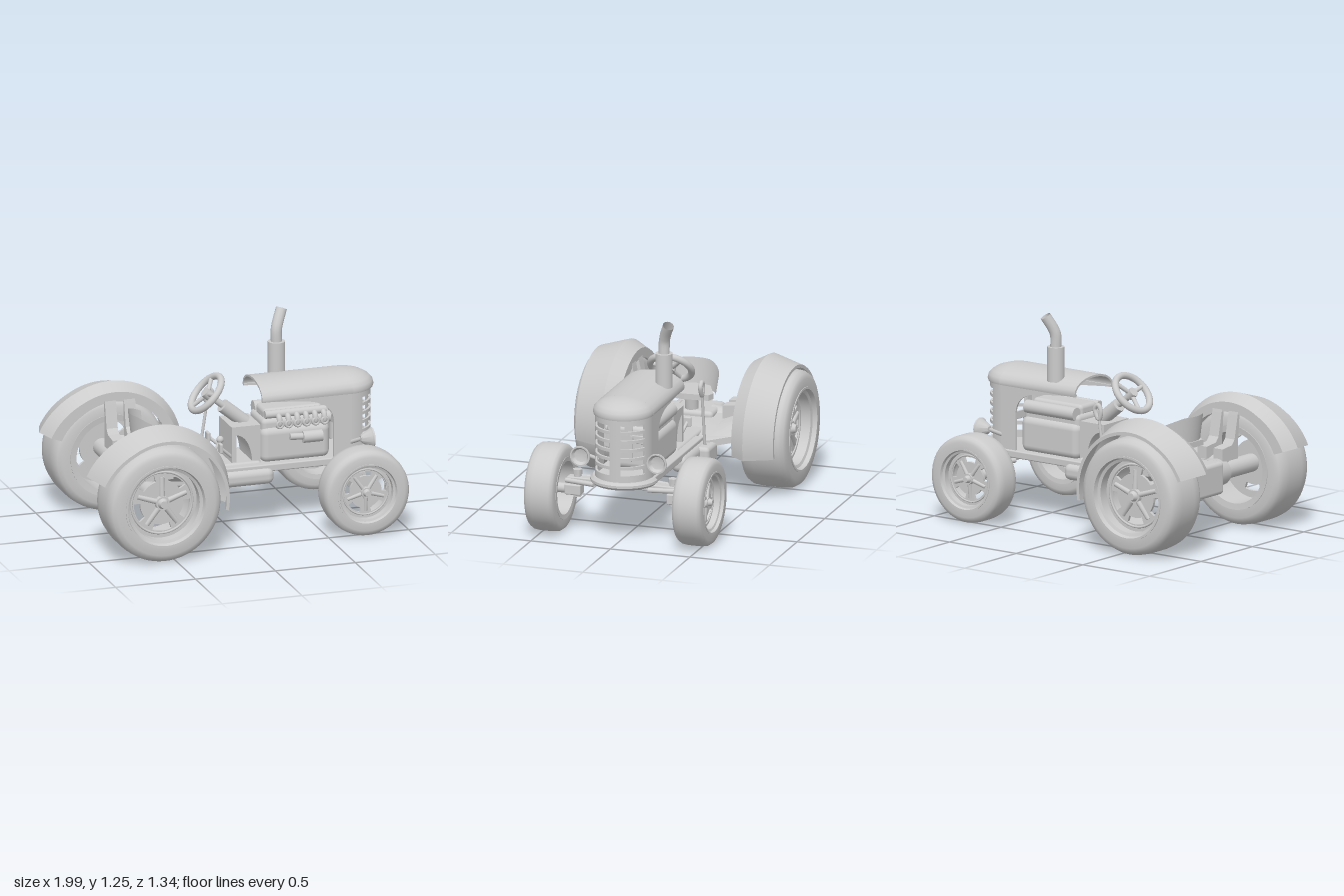
import * as THREE from 'three';
import { toCreasedNormals } from 'three/addons/utils/BufferGeometryUtils.js';
import { RoundedBoxGeometry } from 'three/addons/geometries/RoundedBoxGeometry.js';

const mat = new THREE.MeshStandardMaterial({ color: 0xcccccc, side: THREE.DoubleSide });
const V = (x, y, z) => new THREE.Vector3(x, y, z);
const P = (list) => list.map(([a, b]) => new THREE.Vector2(a, b));
const rad = THREE.MathUtils.degToRad;

function add(parent, name, geo, x = 0, y = 0, z = 0) {
  const m = new THREE.Mesh(geo, mat);
  m.name = name;
  m.position.set(x, y, z);
  parent.add(m);
  return m;
}
const box = (p, name, x0, x1, y0, y1, z0, z1, r = 0.008) =>
  add(p, name, new RoundedBoxGeometry(x1 - x0, y1 - y0, z1 - z0, 3, r), (x0 + x1) / 2, (y0 + y1) / 2, (z0 + z1) / 2);

// cylinder or cone between two points
function rod(p, name, a, b, r0, r1 = r0, seg = 20) {
  const d = b.clone().sub(a);
  const m = add(p, name, new THREE.CylinderGeometry(r1, r0, d.length(), seg));
  m.position.copy(a).addScaledVector(d, 0.5);
  m.quaternion.setFromUnitVectors(V(0, 1, 0), d.normalize());
  return m;
}
const tube = (p, name, pts, r, closed = false) =>
  add(p, name, new THREE.TubeGeometry(new THREE.CatmullRomCurve3(pts, closed), 32, r, 12, closed));

// closed profile of [radius, height], revolved about y
const ring = (profile, start = 0, length = Math.PI * 2, seg = 56, crease = 0.6) =>
  toCreasedNormals(new THREE.LatheGeometry(P([...profile, profile[0]]), seg, start, length), crease);
const extrude = (shape, depth) => new THREE.ExtrudeGeometry(shape, { depth, bevelEnabled: false, curveSegments: 16 });

// wheel with its outer side towards +z; R tyre radius, w half width, r rim radius
function wheel(name, R, w, r, hubZ, phase) {
  const g = new THREE.Group();
  g.name = name;
  const tyre = ring([[r, -w], [R * 0.86, -w], [R * 0.94, -w * 0.92], [R * 0.985, -w * 0.74], [R, -w * 0.4], [R, w * 0.4],
    [R * 0.985, w * 0.74], [R * 0.94, w * 0.92], [R * 0.86, w], [r, w]], 0, Math.PI * 2, 64, 0.7);
  add(g, 'tyre', tyre.rotateX(Math.PI / 2));
  const rim = ring([[r * 0.87, -w], [r * 1.02, -w * 1.03], [r * 1.02, w * 1.03], [r * 0.97, w * 1.03], [r * 0.94, w * 0.85], [r * 0.87, w * 0.8]]);
  add(g, 'rim', rim.rotateX(Math.PI / 2));
  // disc with five short framed slots
  const disc = new THREE.Shape().absarc(0, 0, r * 0.88, 0, Math.PI * 2);
  for (let i = 0; i < 5; i++) {
    const a = rad(phase + i * 72), h = 0.35;
    const slot = new THREE.Path();
    slot.absarc(0, 0, r * 0.7, a - h, a + h, false);
    slot.absarc(0, 0, r * 0.54, a + h, a - h, true);
    slot.closePath();
    disc.holes.push(slot);
    const b = a + rad(36);
    rod(g, 'rib', V(0, 0, hubZ + 0.025), V(Math.cos(b) * r * 0.64, Math.sin(b) * r * 0.64, hubZ + 0.014), r * 0.07, r * 0.06, 10);
  }
  add(g, 'wheelDisc', extrude(disc, 0.018), 0, 0, hubZ);
  add(g, 'discBead', new THREE.TorusGeometry(r * 0.76, r * 0.03, 8, 48), 0, 0, hubZ + 0.018);
  rod(g, 'hub', V(0, 0, hubZ - 0.05), V(0, 0, hubZ + 0.04), r * 0.22, r * 0.17);
  rod(g, 'hubCap', V(0, 0, hubZ + 0.04), V(0, 0, hubZ + 0.065), r * 0.13, r * 0.09);
  return g;
}

export function createModel() {
  const g = new THREE.Group();
  g.name = 'tractor';

  for (const s of [1, -1]) {
    const rear = wheel('rearWheel', 0.355, 0.147, 0.25, 0.04, 270);
    rear.position.set(-0.57, 0.355, s * 0.52);
    const front = wheel('frontWheel', 0.265, 0.093, 0.185, 0.02, 90);
    front.position.set(0.73, 0.265, s * 0.465);
    if (s < 0) [rear, front].forEach((w) => { w.rotation.y = Math.PI; });
    g.add(rear, front);

    // ridged mudguard arc with an inner flange, its tail drawn out to the rear
    const guard = ring([[0.34, -0.13], [0.4, -0.13], [0.445, -0.045], [0.392, 0.13], [0.372, 0.13], [0.43, -0.045], [0.385, -0.115], [0.34, -0.115]]
      .map(([r, z]) => [r, z * s]), rad(79), rad(169), 48, 0.3).rotateX(Math.PI / 2);
    const pos = guard.attributes.position;
    for (let i = 0; i < pos.count; i++) pos.setX(i, pos.getX(i) - 0.16 * Math.max(0, -pos.getX(i) - 0.2));
    add(g, 'mudguard', guard, -0.55, 0.352, s * 0.49);
    for (const x of [-0.58, -0.46]) {
      const strap = new THREE.Shape(P([[0.21, 0.42], [0.21, 0.5], [0.3, 0.51], [0.325, 0.54], [0.355, 0.68], [0.365, 0.72],
        [0.375, 0.72], [0.37, 0.64], [0.36, 0.53], [0.36, 0.42]]).map((v) => v.setX(-v.x * s)));
      add(g, 'mudguardBracket', extrude(strap, 0.07).rotateY(Math.PI / 2), x - 0.035);
    }

    // rear axle
    rod(g, 'axleBell', V(-0.57, 0.355, s * 0.1), V(-0.57, 0.355, s * 0.25), 0.1, 0.08, 28);
    rod(g, 'rearAxle', V(-0.57, 0.355, s * 0.22), V(-0.57, 0.355, s * 0.55), 0.055);

    box(g, 'sideTank', -0.2, 0.26, 0.27, 0.37, s * 0.167 - 0.05, s * 0.167 + 0.05, 0.04);

    // front axle arms, knuckles and king pins
    for (const x of [0.65, 0.81]) rod(g, 'axleArm', V(x, 0.328, s * 0.17), V(0.73 + (x - 0.73) * 0.45, 0.325, s * 0.36), 0.015);
    box(g, 'knuckle', 0.69, 0.77, 0.235, 0.3, s * 0.32 - 0.05, s * 0.32 + 0.05);
    rod(g, 'kingPin', V(0.73, 0.22, s * 0.3), V(0.73, 0.375, s * 0.3), 0.022);
    rod(g, 'pinNut', V(0.73, 0.36, s * 0.3), V(0.73, 0.39, s * 0.3), 0.03, 0.03, 6);
    rod(g, 'stubAxle', V(0.73, 0.265, s * 0.34), V(0.73, 0.265, s * 0.47), 0.03);

    // headlamp
    const bowl = new THREE.LatheGeometry(P([[0, 0], [0.018, 0], [0.03, 0.012], [0.055, 0.06], [0.062, 0.065], [0.062, 0.075], [0.053, 0.075], [0.04, 0.055], [0, 0.045]]), 28);
    add(g, 'headlamp', toCreasedNormals(bowl, 0.7).rotateZ(-Math.PI / 2), 0.785, 0.51, s * 0.241);
    rod(g, 'headlampStem', V(0.795, 0.51, s * 0.24), V(0.75, 0.47, s * 0.165), 0.012);

    // hood side panel, cut away around the engine
    const panel = new THREE.Shape();
    panel.moveTo(0.19, 0.79);
    panel.lineTo(0.75, 0.79);
    panel.lineTo(0.75, 0.37);
    panel.lineTo(0.64, 0.37);
    panel.lineTo(0.64, 0.62);
    panel.quadraticCurveTo(0.63, 0.74, 0.46, 0.755);
    panel.lineTo(0.19, 0.78);
    add(g, 'hoodSide', extrude(panel, 0.012), 0, 0, s * 0.17 - 0.006);

    // pedals
    rod(g, 'pedalArm', V(0.04, 0.42, s * 0.1), V(-0.05, 0.5, s * 0.12), 0.01);
    box(g, 'pedal', -0.06, -0.04, 0.47, 0.53, s * 0.12 - 0.025, s * 0.12 + 0.025);
  }
  box(g, 'frontAxleBeam', 0.7, 0.76, 0.305, 0.345, -0.36, 0.36);

  // chassis, transmission and engine
  box(g, 'chassis', -0.14, 0.76, 0.345, 0.39, -0.19, 0.19);
  box(g, 'gearbox', -0.48, 0.2, 0.285, 0.4, -0.145, 0.145, 0.02);
  box(g, 'axleHousing', -0.68, -0.42, 0.25, 0.45, -0.147, 0.147, 0.025);
  box(g, 'engineBlock', 0.2, 0.63, 0.38, 0.6, -0.15, 0.15, 0.045);
  box(g, 'cylinderHead', 0.21, 0.62, 0.55, 0.65, -0.125, 0.125, 0.03);
  box(g, 'valveCover', 0.23, 0.6, 0.63, 0.7, -0.07, 0.09, 0.025);
  box(g, 'fanBladeA', 0.67, 0.68, 0.45, 0.73, -0.025, 0.025, 0.004);
  box(g, 'fanBladeB', 0.67, 0.68, 0.565, 0.615, -0.14, 0.14, 0.004);
  rod(g, 'fanShaft', V(0.6, 0.59, 0), V(0.7, 0.59, 0), 0.035);

  // left side of the engine: manifold, ports and starter
  rod(g, 'manifold', V(0.23, 0.675, 0.11), V(0.61, 0.675, 0.11), 0.024);
  for (let i = 0; i < 6; i++) {
    const x = 0.31 + i * 0.056;
    tube(g, 'exhaustPort', [V(x, 0.67, 0.12), V(x, 0.655, 0.145), V(x, 0.62, 0.15), V(x, 0.6, 0.12)], 0.017);
    add(g, 'portRing', new THREE.TorusGeometry(0.019, 0.008, 8, 20), x, 0.62, 0.16);
  }
  rod(g, 'starter', V(0.45, 0.53, 0.16), V(0.57, 0.53, 0.16), 0.036);
  rod(g, 'starterNose', V(0.37, 0.54, 0.16), V(0.46, 0.535, 0.16), 0.02);
  // right side of the engine: intake pipe
  rod(g, 'intakePipe', V(0.23, 0.655, -0.115), V(0.6, 0.655, -0.115), 0.04);

  // dished floor plate: stations of x, half width, edge height, middle height
  const stations = [[-0.6, 0.36, 0.49, 0.43], [-0.32, 0.36, 0.46, 0.41], [-0.19, 0.355, 0.39, 0.38], [-0.12, 0.22, 0.37, 0.37]];
  const corners = [], index = [];
  for (const [x, z, e, m] of stations) {
    corners.push(x, e, -z, x, m, -z * 0.6, x, m, z * 0.6, x, e, z);
    corners.push(x, e - 0.04, z, x, m - 0.06, z * 0.6, x, m - 0.06, -z * 0.6, x, e - 0.04, -z);
  }
  for (let i = 0; i < 3; i++) {
    for (let k = 0; k < 8; k++) {
      const a = i * 8 + k, b = i * 8 + (k + 1) % 8;
      index.push(a, b, b + 8, a, b + 8, a + 8);
    }
  }
  for (const [a, b, c, d] of [[0, 7, 6, 1], [1, 6, 5, 2], [2, 5, 4, 3]]) {
    index.push(a, b, c, a, c, d, a + 24, c + 24, b + 24, a + 24, d + 24, c + 24);
  }
  const floor = new THREE.BufferGeometry();
  floor.setAttribute('position', new THREE.Float32BufferAttribute(corners, 3));
  floor.setIndex(index);
  add(g, 'floorPlate', toCreasedNormals(floor, 0.4));

  // dashboard cowl with a leg arch
  const cowl = new THREE.Shape(P([[0.02, 0.38], [0.02, 0.62], [0.2, 0.62], [0.2, 0.38], [0.15, 0.38]]));
  cowl.quadraticCurveTo(0.14, 0.55, 0.05, 0.57);
  cowl.lineTo(0.05, 0.38);
  add(g, 'cowl', extrude(cowl, 0.24), 0, 0, -0.12);

  // hood: domed shell with a round nose
  const dome = [[0.182, 0.775], [0.186, 0.79], [0.18, 0.815], [0.16, 0.838], [0.125, 0.858], [0.08, 0.872], [0.035, 0.878], [0, 0.879]];
  const inner = dome.map(([r, y]) => [r * 0.93, 0.775 + (y - 0.775) * 0.88]).reverse();
  const mirror = (pts) => pts.slice().reverse().map(([r, y]) => [-r, y]);
  const arch = new THREE.Shape(P([...dome, ...mirror(dome).slice(1), ...mirror(inner).slice(0, -1), ...inner]));
  add(g, 'hood', toCreasedNormals(extrude(arch, 0.565).rotateY(Math.PI / 2), 0.6), 0.19);
  add(g, 'hoodNose', ring([...dome, ...inner], 0, Math.PI, 40), 0.75);

  // rounded grille: bars between two columns of slots
  const band = (name, y0, y1, a0, a1, r = 0.175) =>
    add(g, name, ring([[r - 0.014, y0], [r, y0], [r, y1], [r - 0.014, y1]], rad(a0), rad(a1 - a0), 24), 0.745);
  const pitch = 0.0545;
  for (let i = 0; i < 7; i++) {
    const y = 0.466 + (i - 1) * pitch;
    band('grilleBar', i ? y : 0.38, i < 6 ? y + 0.019 : 0.785, 0, 180);
  }
  band('grilleCentre', 0.38, 0.785, 79, 101);
  band('grilleSide', 0.38, 0.785, 0, 28);
  band('grilleSide', 0.38, 0.785, 152, 180);
  add(g, 'grilleBase', ring([[0, 0.345], [0.19, 0.345], [0.205, 0.36], [0.205, 0.375], [0.19, 0.39], [0, 0.39]], 0, Math.PI, 36), 0.74);

  // exhaust stack
  rod(g, 'silencer', V(0.38, 0.84, -0.122), V(0.38, 1.05, -0.122), 0.052, 0.052, 28);
  tube(g, 'exhaustPipe', [V(0.38, 1.03, -0.122), V(0.38, 1.12, -0.124), V(0.393, 1.165, -0.135), V(0.425, 1.235, -0.165)], 0.034);

  // steering wheel and column
  const steer = new THREE.Group();
  steer.name = 'steeringWheel';
  steer.position.set(-0.1, 0.81, 0);
  steer.quaternion.setFromUnitVectors(V(0, 0, 1), V(-0.74, 0.67, 0).normalize());
  add(steer, 'wheelRim', new THREE.TorusGeometry(0.126, 0.021, 14, 48));
  for (let i = 0; i < 3; i++) {
    const a = rad(90 + i * 120);
    rod(steer, 'wheelSpoke', V(0, 0, -0.01), V(Math.cos(a) * 0.12, Math.sin(a) * 0.12, 0), 0.013);
  }
  rod(steer, 'wheelHub', V(0, 0, -0.03), V(0, 0, 0.015), 0.03);
  g.add(steer);
  rod(g, 'steeringColumn', V(-0.1, 0.81, 0), V(0.06, 0.68, 0), 0.02);
  rod(g, 'columnSleeve', V(0.0, 0.725, 0), V(0.14, 0.61, 0), 0.042);

  // seat: tapered pan with a wrapped back, highest in the middle
  const pan = new THREE.Shape(P([[-0.57, -0.08], [-0.39, -0.165], [-0.345, -0.15], [-0.33, 0], [-0.345, 0.15], [-0.39, 0.165], [-0.57, 0.08]]));
  add(g, 'seatPan', extrude(pan, 0.035).rotateX(Math.PI / 2), 0, 0.58);
  const back = new THREE.CylinderGeometry(0.19, 0.17, 0.18, 28, 4, true, rad(198), rad(144));
  const bp = back.attributes.position;
  for (let i = 0; i < bp.count; i++) {
    bp.setY(i, -0.09 + (bp.getY(i) + 0.09) * (0.55 + 0.45 * Math.min(1, -bp.getX(i) / 0.17)));
  }
  back.computeVertexNormals();
  add(g, 'seatBack', back, -0.39, 0.645);
  rod(g, 'seatPost', V(-0.48, 0.42, 0), V(-0.46, 0.56, 0), 0.04);

  // step box and hand lever on the right side
  box(g, 'stepBox', -0.17, 0, 0.245, 0.36, -0.27, -0.18, 0.025);
  rod(g, 'handLever', V(-0.07, 0.36, -0.222), V(-0.02, 0.69, -0.222), 0.009);
  tube(g, 'leverGrip', [V(-0.02, 0.68, -0.222), V(-0.035, 0.73, -0.222), V(-0.015, 0.765, -0.222), V(0.01, 0.74, -0.222)], 0.014, true);
  rod(g, 'gearStick', V(-0.1, 0.4, 0.05), V(-0.03, 0.52, 0.05), 0.01);
  add(g, 'gearKnob', new THREE.SphereGeometry(0.022, 16, 12), -0.03, 0.53, 0.05);
  return g;
}
